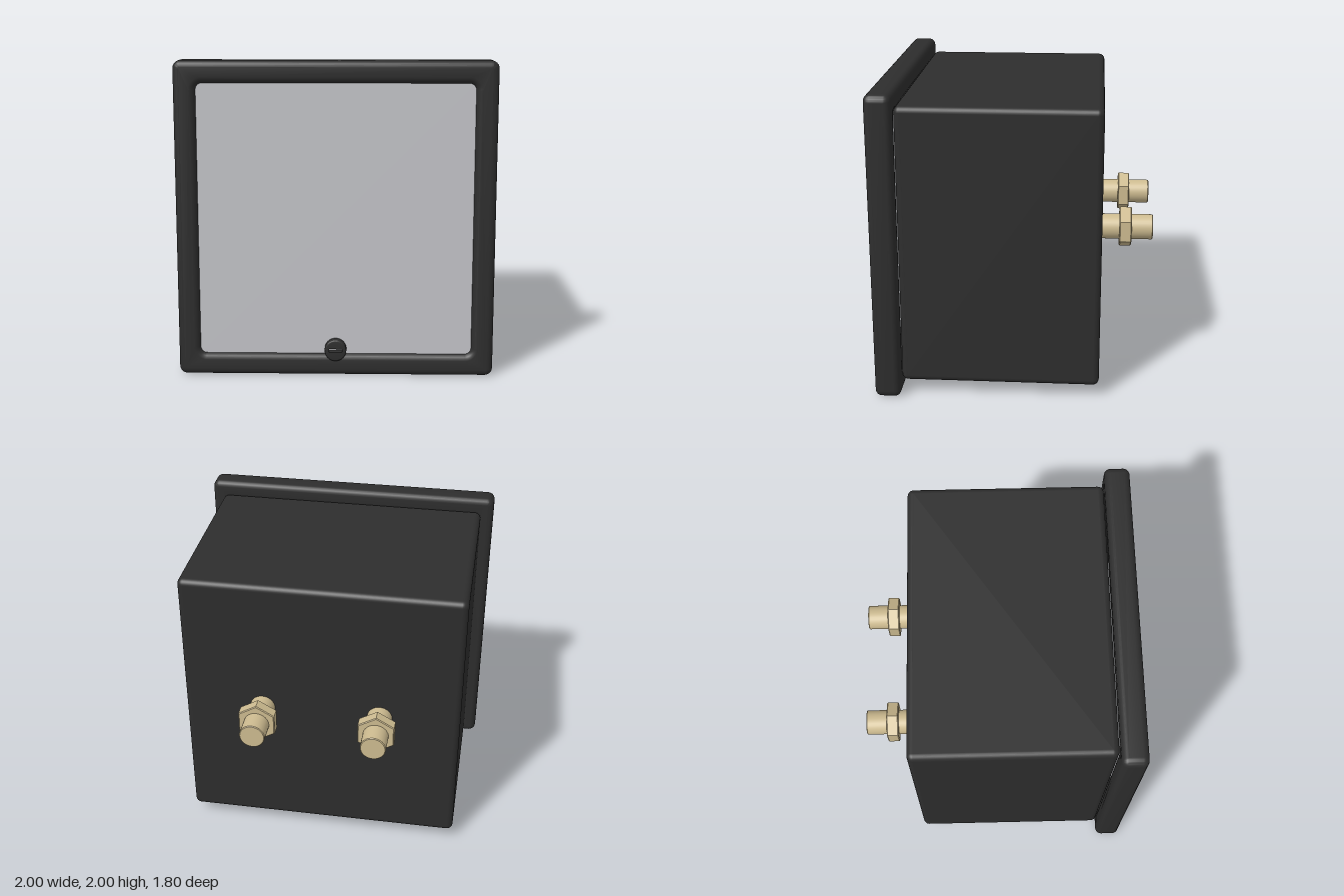
import * as THREE from 'three';
import { toCreasedNormals } from 'three/addons/utils/BufferGeometryUtils.js';
import { RoundedBoxGeometry } from 'three/addons/geometries/RoundedBoxGeometry.js';

const material = (name, color) => {
  const m = new THREE.MeshStandardMaterial({ color });
  m.name = name;
  return m;
};

// Traces a rounded rectangle centred on the origin
function roundedRect(path, halfW, halfH, r) {
  path.moveTo(halfW, -halfH + r);
  path.lineTo(halfW, halfH - r);
  path.absarc(halfW - r, halfH - r, r, 0, Math.PI / 2);
  path.lineTo(-halfW + r, halfH);
  path.absarc(-halfW + r, halfH - r, r, Math.PI / 2, Math.PI);
  path.lineTo(-halfW, -halfH + r);
  path.absarc(-halfW + r, -halfH + r, r, Math.PI, Math.PI * 1.5);
  path.lineTo(halfW - r, -halfH);
  path.absarc(halfW - r, -halfH + r, r, Math.PI * 1.5, Math.PI * 2);
  return path;
}

// Lathe around the z axis; points are [radius, z] from back to front
function turned(points, sides) {
  const g = new THREE.LatheGeometry(points.map(([r, z]) => new THREE.Vector2(r, z)), sides);
  g.rotateX(Math.PI / 2);
  return toCreasedNormals(g, sides > 8 ? 0.5 : 0.1);
}

export function createModel() {
  const model = new THREE.Group();
  model.name = 'panelInstrument';
  const black = material('black plastic', 0x2d2d2d);
  const grey = material('grey window', 0xc4c5c9);
  const brass = material('brass', 0xcdbb90);

  const add = (name, geometry, mat, x, y, z, parent = model) => {
    const mesh = new THREE.Mesh(geometry, mat);
    mesh.name = name;
    mesh.position.set(x, y, z);
    parent.add(mesh);
    return mesh;
  };

  // Housing
  add('housing', new RoundedBoxGeometry(1.83, 1.83, 1.28, 4, 0.04), black, 0, 1, 0.075);

  // Square bezel with rounded edges and a window opening
  const frame = roundedRect(new THREE.Shape(), 0.96, 0.96, 0.01);
  frame.holes.push(roundedRect(new THREE.Path(), 0.9, 0.9, 0.08));
  const bezel = new THREE.ExtrudeGeometry(frame, {
    depth: 0.085, bevelThickness: 0.04, bevelSize: 0.04, bevelSegments: 5, curveSegments: 6,
  });
  add('bezel', toCreasedNormals(bezel, 0.6), black, 0, 1, 0.755);

  // Window plate
  add('window', new THREE.BoxGeometry(1.74, 1.74, 0.008), grey, 0, 1, 0.846);

  // Adjusting screw, slotted through to the window plate
  const disc = new THREE.Shape().absarc(0, 0, 0.06, 0, Math.PI * 2);
  disc.holes.push(roundedRect(new THREE.Path(), 0.042, 0.011, 0.001));
  const screw = new THREE.ExtrudeGeometry(disc, {
    depth: 0.042, bevelThickness: 0.008, bevelSize: 0.009, bevelOffset: 0, bevelSegments: 3, curveSegments: 24,
  });
  // Keep the slot straight by undoing the bevel inside it
  const p = screw.attributes.position;
  for (let i = 0; i < p.count; i++) {
    if (Math.hypot(p.getX(i), p.getY(i)) < 0.055) {
      p.setXY(i, Math.sign(p.getX(i)) * 0.042, Math.sign(p.getY(i)) * 0.011);
    }
  }
  add('adjustingScrew', toCreasedNormals(screw, 0.6), black, 0, 0.17, 0.85);

  // Two rear terminals, each a stud with a hexagonal nut
  for (const side of [-1, 1]) {
    const terminal = new THREE.Group();
    terminal.name = side > 0 ? 'leftTerminal' : 'rightTerminal';
    terminal.position.set(side * 0.39, 1.003, 0);
    model.add(terminal);
    const stud = turned([[0, -0.9], [0.078, -0.9], [0.083, -0.895], [0.083, -0.55], [0, -0.55]], 32);
    add('stud', stud, brass, 0, 0, 0, terminal);
    const nut = turned([[0, -0.76], [0.13, -0.76], [0.136, -0.754], [0.136, -0.686], [0.13, -0.68], [0, -0.68]], 6);
    add('hexNut', nut, brass, 0, 0, 0, terminal);
  }
  return model;
}
